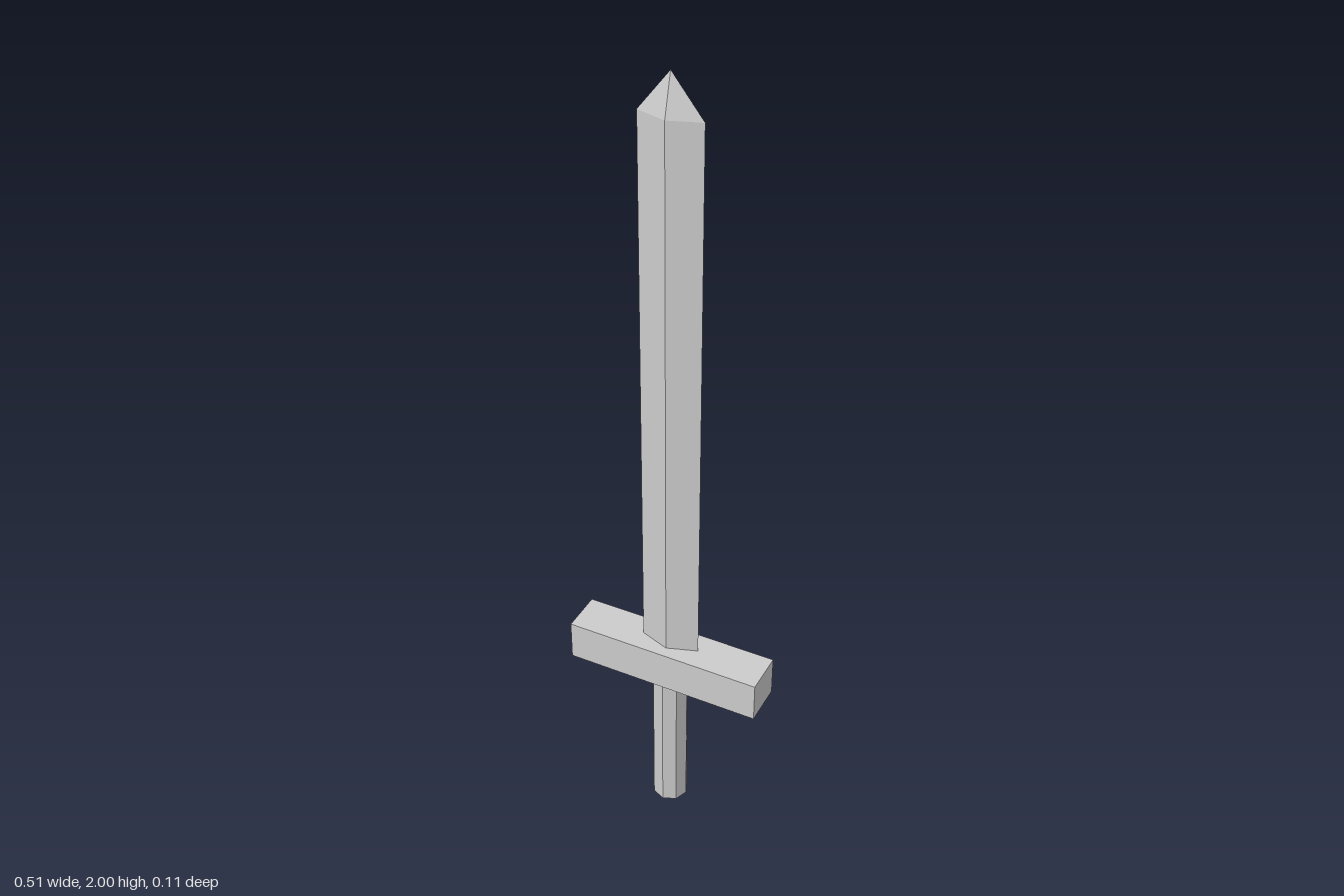
import * as THREE from 'three';

export function createModel() {
  const group = new THREE.Group();
  const material = new THREE.MeshStandardMaterial({ color: 0xcccccc, flatShading: true });

  const guardBottom = 0.413, guardTop = 0.519, bladeTop = 1.905, tipTop = 2;
  const bladeHalfWidth = 0.076, bladeHalfDepth = 0.026;

  // Places a geometry centred between two heights
  function add(name, geometry, bottom, top) {
    const mesh = new THREE.Mesh(geometry, material);
    mesh.name = name;
    mesh.position.y = (bottom + top) / 2;
    group.add(mesh);
  }

  // Diamond cross-section: a four-sided cylinder squashed front to back
  function diamond(topRadius, height) {
    return new THREE.CylinderGeometry(topRadius, 1, height, 4, 1, true)
      .scale(bladeHalfWidth, 1, bladeHalfDepth);
  }

  // Octagonal grip
  add('grip', new THREE.CylinderGeometry(0.046, 0.046, guardBottom, 8), 0, guardBottom);

  // Crossguard bar
  add('crossguard', new THREE.BoxGeometry(0.509, guardTop - guardBottom, 0.109), guardBottom, guardTop);

  // Straight blade and its pointed tip
  add('blade', diamond(1, bladeTop - guardTop), guardTop, bladeTop);
  add('bladeTip', diamond(0, tipTop - bladeTop), bladeTop, tipTop);

  return group;
}
